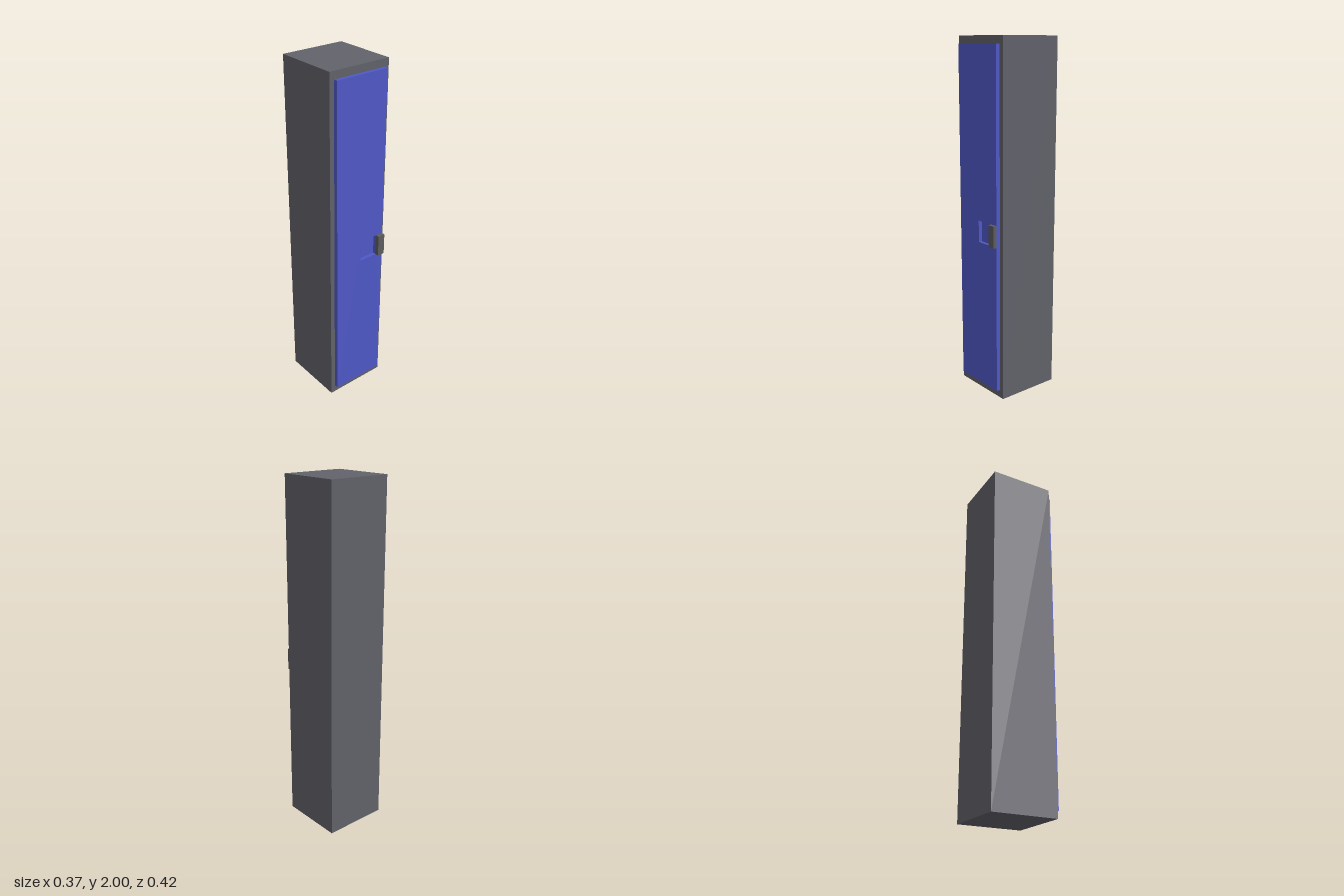
import * as THREE from 'three';

const material = (color) => new THREE.MeshStandardMaterial({ color });

// Box given by its minimum and maximum corners
function box(name, min, max, mat) {
  const size = max.map((v, i) => v - min[i]);
  const mesh = new THREE.Mesh(new THREE.BoxGeometry(...size), mat);
  mesh.position.set(...max.map((v, i) => (v + min[i]) / 2));
  mesh.name = name;
  return mesh;
}

// Rectangular outline, usable as a shape or as a hole
function rectangle(PathType, x0, y0, x1, y1) {
  return new PathType([[x0, y0], [x1, y0], [x1, y1], [x0, y1]].map(([x, y]) => new THREE.Vector2(x, y)));
}

export function createModel() {
  const group = new THREE.Group();
  group.name = 'locker';
  const steel = material(0x62626b);
  const paint = material(0x5059c8);
  const backZ = 0.165, faceZ = 0.189, floorZ = 0.168;
  const gripY0 = 0.893, gripY1 = 1.016, gripX = 0.117, doorX = 0.16;

  // Cabinet body
  group.add(box('cabinet', [-0.187, 0, -0.21], [0.187, 2, backZ], steel));

  // Door panel with a rectangular finger recess cut through it
  const outline = rectangle(THREE.Shape, -doorX, 0.047, doorX, 1.958);
  outline.holes.push(rectangle(THREE.Path, 0.005, gripY0, gripX, gripY1));
  const door = new THREE.Mesh(
    new THREE.ExtrudeGeometry(outline, { depth: faceZ - backZ, bevelEnabled: false }),
    paint
  );
  door.position.z = backZ;
  door.name = 'door';
  group.add(door);

  // Floor of the recess
  group.add(box('recessFloor', [0.005, gripY0, backZ], [gripX, gripY1, floorZ], paint));

  // Handle block beside the recess
  group.add(box('handle', [gripX, gripY0, faceZ], [doorX, gripY1, 0.21], material(0x5e5e5e)));

  return group;
}
